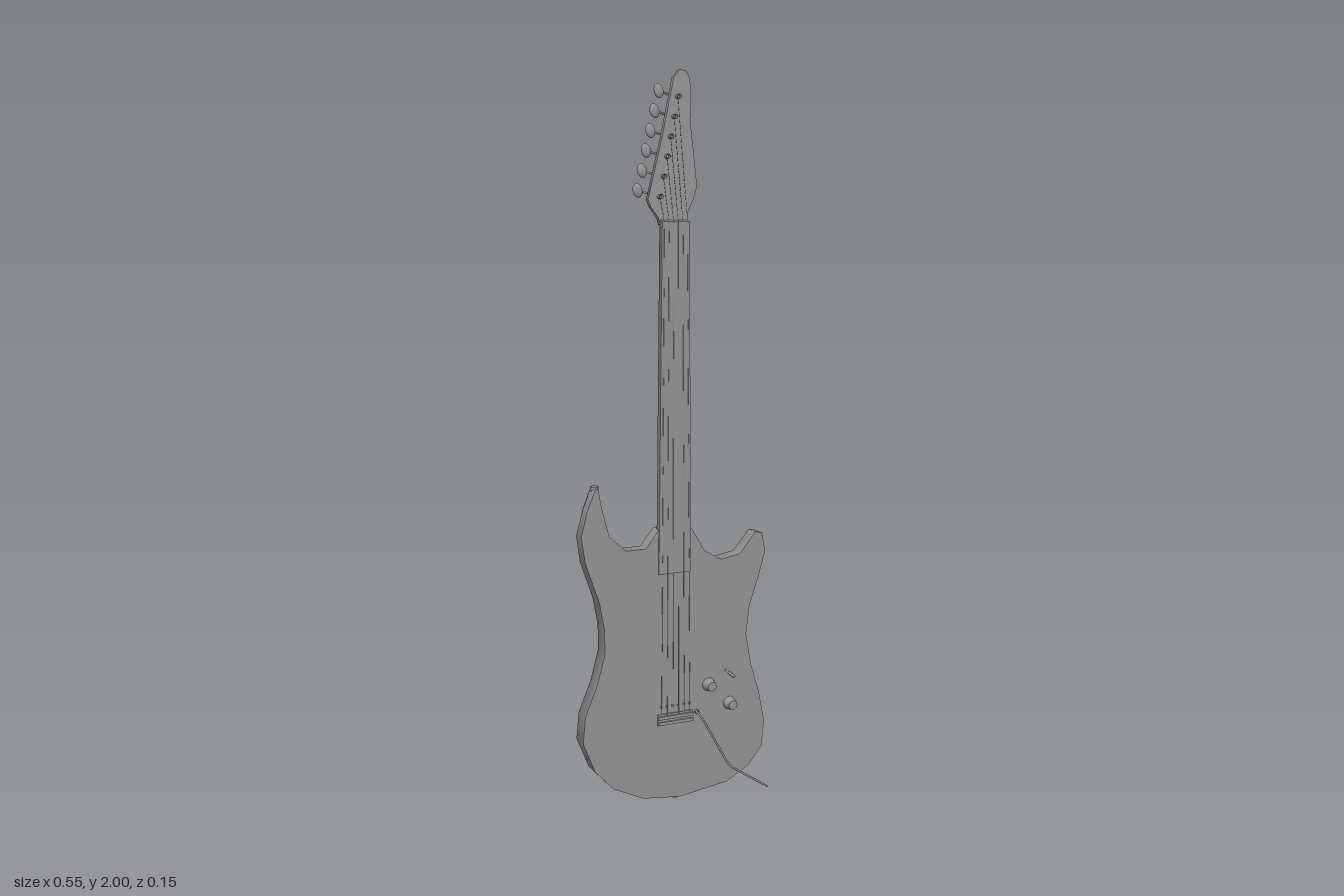
import * as THREE from 'three';
import { toCreasedNormals } from 'three/addons/utils/BufferGeometryUtils.js';

const material = new THREE.MeshStandardMaterial({ color: 0x949494, side: THREE.DoubleSide });
const lerp = THREE.MathUtils.lerp;
const FRONT = 0.015; // z of the body's front face

function add(parent, name, geometry, x = 0, y = 0, z = 0) {
  const mesh = new THREE.Mesh(geometry, material);
  mesh.name = name;
  mesh.position.set(x, y, z);
  parent.add(mesh);
  return mesh;
}

// Straight rod between two points
function rod(parent, name, a, b, radius, sides = 6) {
  const path = new THREE.LineCurve3(new THREE.Vector3(...a), new THREE.Vector3(...b));
  return add(parent, name, new THREE.TubeGeometry(path, 1, radius, sides));
}

// Piecewise-linear lookup through [key, value] stops
function ramp(stops, t) {
  if (t <= stops[0][0]) return stops[0][1];
  for (let i = 1; i < stops.length; i++) {
    const [a, va] = stops[i - 1], [b, vb] = stops[i];
    if (t <= b) return lerp(va, vb, (t - a) / (b - a));
  }
  return stops[stops.length - 1][1];
}

// Move each point of a counter-clockwise outline inward by amount(y)
function inset(outline, amount) {
  const n = outline.length;
  return outline.map(([x, y], i) => {
    const p = outline[(i + n - 1) % n], q = outline[(i + 1) % n];
    const a = new THREE.Vector2(x - p[0], y - p[1]).normalize();
    const b = new THREE.Vector2(q[0] - x, q[1] - y).normalize();
    const d = a.add(b).normalize();
    return [x - d.y * amount(y), y + d.x * amount(y)];
  });
}

// Skin counter-clockwise rings of [x, y, z], ordered from +z to -z, with both ends capped
function loft(rings) {
  const n = rings[0].length, index = [];
  const caps = [rings[0], rings[rings.length - 1]].map((ring) =>
    THREE.ShapeUtils.triangulateShape(ring.map(([x, y]) => new THREE.Vector2(x, y)), []));
  for (let r = 0; r < rings.length - 1; r++) {
    for (let i = 0; i < n; i++) {
      const j = (i + 1) % n, a = r * n, b = a + n;
      index.push(a + i, b + i, b + j, a + i, b + j, a + j);
    }
  }
  const last = (rings.length - 1) * n;
  caps[0].forEach(([a, b, c]) => index.push(a, b, c));
  caps[1].forEach(([a, b, c]) => index.push(last + a, last + c, last + b));
  const geometry = new THREE.BufferGeometry();
  geometry.setAttribute('position', new THREE.Float32BufferAttribute(rings.flat(2), 3));
  geometry.setIndex(index);
  return toCreasedNormals(geometry.toNonIndexed(), 1.15);
}

// Two-horned body: flat front, upright rim, bevelled back that thins toward the horns
function makeBody(parent) {
  const outline = [
    [-0.227, 0.91], [-0.217, 0.857], [-0.196, 0.778], [-0.148, 0.735], [-0.09, 0.735], [-0.053, 0.783],
    [0.045, 0.783], [0.085, 0.714], [0.138, 0.683], [0.196, 0.693], [0.227, 0.73], [0.243, 0.751],
    [0.265, 0.746], [0.275, 0.693], [0.254, 0.619], [0.227, 0.54], [0.217, 0.46], [0.233, 0.37],
    [0.259, 0.286], [0.277, 0.196], [0.27, 0.122], [0.227, 0.069], [0.159, 0.032], [0.01, 0.012],
    [-0.1, 0.026], [-0.19, 0.069], [-0.243, 0.127], [-0.277, 0.212], [-0.27, 0.286], [-0.233, 0.376],
    [-0.212, 0.455], [-0.212, 0.524], [-0.227, 0.603], [-0.265, 0.709], [-0.277, 0.783], [-0.259, 0.852],
    [-0.237, 0.905],
  ].reverse();
  const bevel = (y) => ramp([[0.45, 0.07], [0.62, 0.045], [0.7, 0.025], [0.78, 0.015], [0.9, 0.004]], y);
  const back = (y) => ramp([[0.5, -0.076], [0.68, -0.063], [0.78, -0.047], [0.91, -0.03]], y);
  const ring = (t, depth) => inset(outline, (y) => bevel(y) * t)
    .map(([x, y], i) => [x, y, depth(outline[i][1])]);
  add(parent, 'body', loft([
    ring(0, () => FRONT),
    ring(0, (y) => back(y) * 0.46),
    ring(0.5, (y) => back(y) * 0.76),
    ring(0.9, (y) => back(y) * 0.97),
    ring(1.1, back),
  ]));
  // Strap buttons
  rod(parent, 'hornStrapButton', [-0.228, 0.89, -0.011], [-0.228, 0.914, -0.011], 0.011, 16);
  rod(parent, 'endStrapButton', [0.01, 0.002, -0.015], [0.01, 0.02, -0.015], 0.01, 16);
}

// Neck: flat fingerboard side, rounded back, tapering to the nut, then fairing into the headstock
function makeNeck(parent) {
  const section = (y, left, right, front, depth) => {
    const c = (left + right) / 2, w = (right - left) / 2;
    const ring = [[left, -front, y], [right, -front, y]];
    for (let i = 0; i <= 12; i++) {
      const a = (i / 12) * Math.PI;
      ring.push([c + w * Math.cos(a), 0.013 - front + depth * Math.sin(a), y]);
    }
    return ring;
  };
  const neck = add(parent, 'neck', loft([
    section(1.7, -0.03, 0.03, -0.004, 0.011),
    section(1.612, -0.042, 0.037, 0, 0.013),
    section(1.608, -0.042, 0.037, 0.019, 0.031),
    section(0.85, -0.051, 0.042, 0.019, 0.03),
    section(0.66, -0.053, 0.043, 0.019, 0.036),
  ]));
  neck.rotation.x = -Math.PI / 2;
}

// Headstock leaning back, with six posts and tuners along its slanted edge
function makeHeadstock(parent) {
  const head = new THREE.Group();
  head.name = 'headstock';
  head.position.set(0, 1.6, 0.004);
  head.rotation.x = -0.066;
  parent.add(head);
  const outline = [
    [-0.041, 0], [0.036, 0], [0.039, 0.03], [0.055, 0.06], [0.069, 0.1], [0.062, 0.18], [0.054, 0.27],
    [0.058, 0.36], [0.054, 0.385], [0.044, 0.399], [0.026, 0.4], [0.01, 0.38], [-0.03, 0.22],
    [-0.074, 0.065], [-0.066, 0.045], [-0.046, 0.018],
  ];
  const ring = (d, z) => inset(outline, () => d).map(([x, y]) => [x, y, z]);
  add(head, 'headPlate', loft([ring(0, 0), ring(0, -0.014), ring(0.004, -0.021), ring(0.011, -0.025)]));

  const posts = [];
  for (let i = 0; i < 6; i++) {
    const t = i / 5, x = lerp(-0.042, 0.018, t), y = lerp(0.072, 0.33, t);
    rod(head, 'tuningPost', [x, y, -0.02], [x, y, 0.014], 0.006, 12);
    const housing = add(head, 'tunerHousing', new THREE.CylinderGeometry(0.009, 0.011, 0.016, 14), x, y + 0.006, -0.029);
    housing.rotation.x = -Math.PI / 2;
    const bx = lerp(-0.09, -0.021, t), by = y + 0.018;
    rod(head, 'tunerShaft', [x, y + 0.006, -0.03], [bx, by, -0.03], 0.003);
    const button = add(head, 'tunerButton', new THREE.SphereGeometry(1, 14, 10), bx, by, -0.03);
    button.scale.set(0.014, 0.019, 0.007);
    button.rotation.z = 0.2;
    posts.push(new THREE.Vector3(x, y, 0.004));
  }
  head.updateMatrix();
  return posts.map((p) => p.applyMatrix4(head.matrix));
}

// Fine strings from the posts over the neck to the bridge
function makeStrings(parent, posts) {
  posts.forEach((post, i) => {
    const t = i / 5, nut = [lerp(-0.036, 0.031, t), 1.606, 0.0195];
    rod(parent, 'string', post.toArray(), nut, 0.0005);
    rod(parent, 'string', nut, [lerp(-0.046, 0.04, t), 0.25, 0.0195], 0.0005);
  });
}

// Bridge bars, screw row and a bent tremolo arm
function makeBridge(parent) {
  add(parent, 'bridgePlate', new THREE.BoxGeometry(0.106, 0.034, 0.004), -0.003, 0.245, FRONT + 0.001);
  for (const y of [0.236, 0.252]) {
    add(parent, 'bridgeBar', new THREE.BoxGeometry(0.106, 0.009, 0.01), -0.003, y, FRONT + 0.003);
  }
  for (let i = 0; i < 6; i++) {
    const x = lerp(-0.046, 0.04, i / 5);
    rod(parent, 'bridgeScrew', [x, 0.283, FRONT - 0.002], [x, 0.283, FRONT + 0.003], 0.003, 8);
  }
  const arm = new THREE.CurvePath();
  const bends = [[0.062, 0.255, 0.012], [0.063, 0.25, 0.036], [0.072, 0.235, 0.043],
    [0.13, 0.118, 0.067], [0.142, 0.1, 0.071], [0.258, 0.022, 0.072]].map((p) => new THREE.Vector3(...p));
  for (let i = 1; i < bends.length; i++) arm.add(new THREE.LineCurve3(bends[i - 1], bends[i]));
  add(parent, 'tremoloArm', new THREE.TubeGeometry(arm, 40, 0.003, 8));
  rod(parent, 'armSocket', [0.062, 0.255, 0.01], [0.062, 0.255, 0.022], 0.006, 12);
  add(parent, 'armTip', new THREE.SphereGeometry(0.003, 8, 6), 0.258, 0.022, 0.072);
}

// Two tapered knobs and a selector switch
function makeControls(parent) {
  for (const [x, y] of [[0.1, 0.328], [0.165, 0.265]]) {
    const knob = add(parent, 'controlKnob', new THREE.CylinderGeometry(0.013, 0.019, 0.026, 24), x, y, FRONT + 0.012);
    knob.rotation.x = Math.PI / 2;
  }
  const plate = add(parent, 'switchSlot', new THREE.BoxGeometry(0.03, 0.006, 0.003), 0.163, 0.354, FRONT + 0.001);
  plate.rotation.z = -0.75;
  rod(parent, 'switchLever', [0.163, 0.354, FRONT], [0.17, 0.346, FRONT + 0.022], 0.004, 8);
}

export function createModel() {
  const guitar = new THREE.Group();
  guitar.name = 'electricGuitar';
  makeBody(guitar);
  makeNeck(guitar);
  makeStrings(guitar, makeHeadstock(guitar));
  makeBridge(guitar);
  makeControls(guitar);
  return guitar;
}
